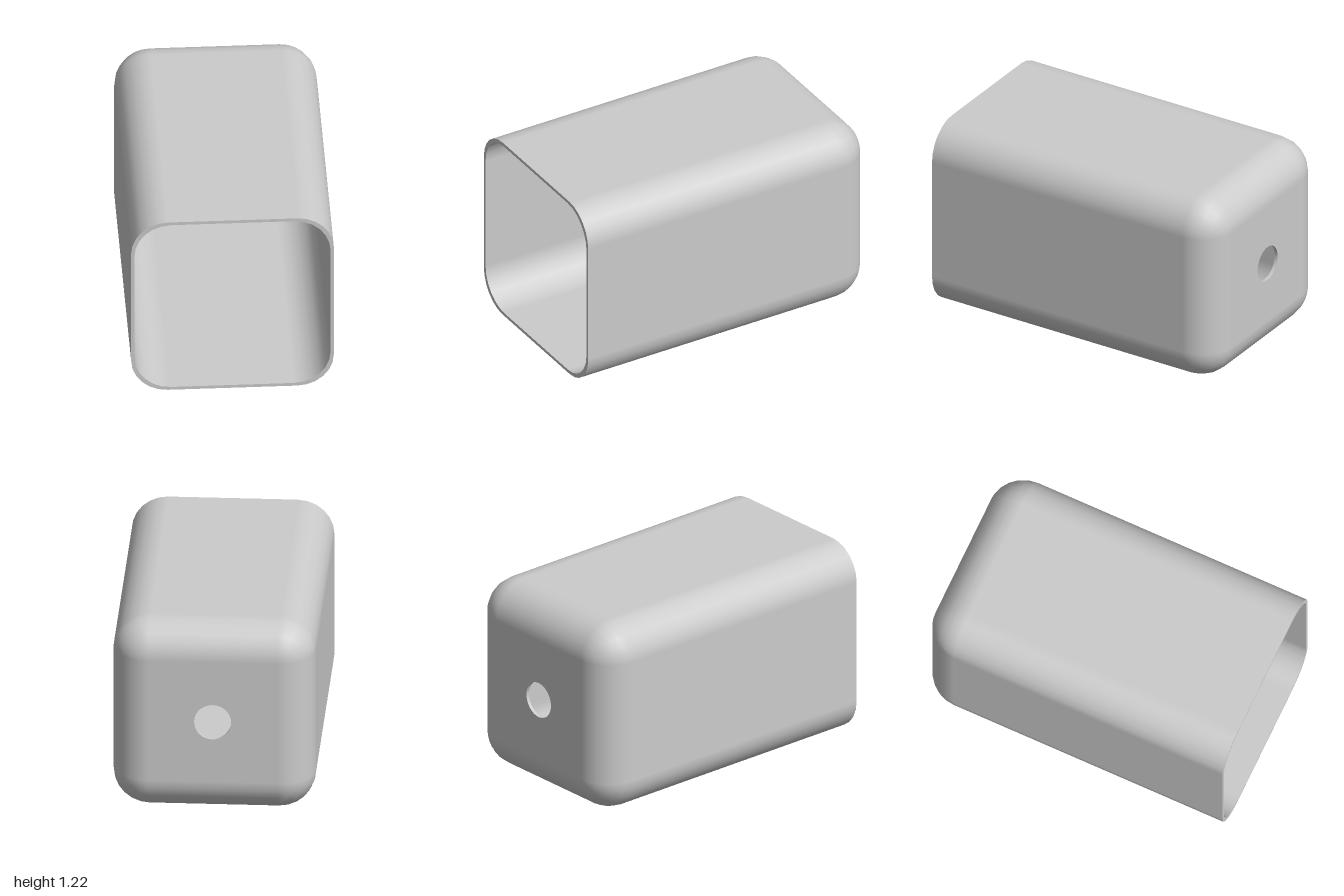
import * as THREE from 'three';

const R = 0.22;          // radius of every rounded edge
const HALF = 0.61;       // half width of the box
const WALL = 0.02;
const HOLE = 0.112;
const STEPS = 6;         // segments per quarter round

// Directions around a rounded square, with the corner each one belongs to
const spokes = [];
for (let k = 0; k < 4; k++) {
  const mid = (k + 0.5) * Math.PI / 2;
  for (let i = 0; i <= STEPS; i++) {
    const t = (k + i / STEPS) * Math.PI / 2;
    spokes.push({ x: Math.cos(t), y: Math.sin(t), sx: Math.sign(Math.cos(mid)), sy: Math.sign(Math.sin(mid)) });
  }
}

// Rounded-square outline; r = 0 gives the sharp square of the flat back
const outline = (half, r) =>
  spokes.map(s => new THREE.Vector2(s.sx * (half - R) + s.x * r, s.sy * (half - R) + s.y * r));

// Side walls and filleted back edge, lofted from front to back
function skin(half, back, inward) {
  const pos = [], nor = [], idx = [], n = spokes.length, f = inward ? -1 : 1;
  const rings = [{ z: 1, a: 0 }];
  for (let j = 0; j <= STEPS; j++) {
    const a = j / STEPS * Math.PI / 2;
    rings.push({ z: back + R - R * Math.sin(a), a });
  }
  rings.forEach(({ z, a }, j) => {
    const c = Math.cos(a);
    outline(half, R * c).forEach((p, i) => {
      pos.push(p.x, p.y, z);
      nor.push(f * spokes[i].x * c, f * spokes[i].y * c, -f * Math.sin(a));
      if (j === rings.length - 1) return;
      const A = j * n + i, B = j * n + (i + 1) % n, C = A + n, D = B + n;
      if (inward) idx.push(A, B, C, B, D, C);
      else idx.push(A, C, B, B, C, D);
    });
  });
  const g = new THREE.BufferGeometry();
  g.setAttribute('position', new THREE.Float32BufferAttribute(pos, 3));
  g.setAttribute('normal', new THREE.Float32BufferAttribute(nor, 3));
  g.setIndex(idx);
  return g;
}

// Flat square back panel with the round hole
function panel(half) {
  const c = half - R;
  const s = new THREE.Shape([[-c, -c], [c, -c], [c, c], [-c, c]].map(p => new THREE.Vector2(...p)));
  s.holes.push(new THREE.Path().absarc(0, 0, HOLE, 0, Math.PI * 2, true));
  return new THREE.ShapeGeometry(s, 24);
}

export function createModel() {
  const group = new THREE.Group();
  group.name = 'openBox';
  const material = new THREE.MeshStandardMaterial({ color: 0xcccccc });
  const add = (name, geometry, z = 0, mat = material) => {
    const m = new THREE.Mesh(geometry, mat);
    m.name = name;
    m.position.set(0, HALF, z);
    group.add(m);
    return m;
  };

  // Outer and inner skins
  add('outerShell', skin(HALF, -1, false));
  add('innerShell', skin(HALF - WALL, -1 + WALL, true));

  // Back wall, both faces
  add('backOuterFace', panel(HALF), -1).rotation.y = Math.PI;
  add('backInnerFace', panel(HALF - WALL), -1 + WALL);

  // Wall of the hole
  const bore = new THREE.CylinderGeometry(HOLE, HOLE, WALL, 48, 1, true).rotateX(Math.PI / 2);
  const boreMaterial = material.clone();
  boreMaterial.side = THREE.DoubleSide;
  add('holeWall', bore, -1 + WALL / 2, boreMaterial);

  // Front rim between the skins
  const rim = new THREE.Shape(outline(HALF, R));
  rim.holes.push(new THREE.Path(outline(HALF - WALL, R).reverse()));
  add('frontRim', new THREE.ShapeGeometry(rim), 1);

  return group;
}
